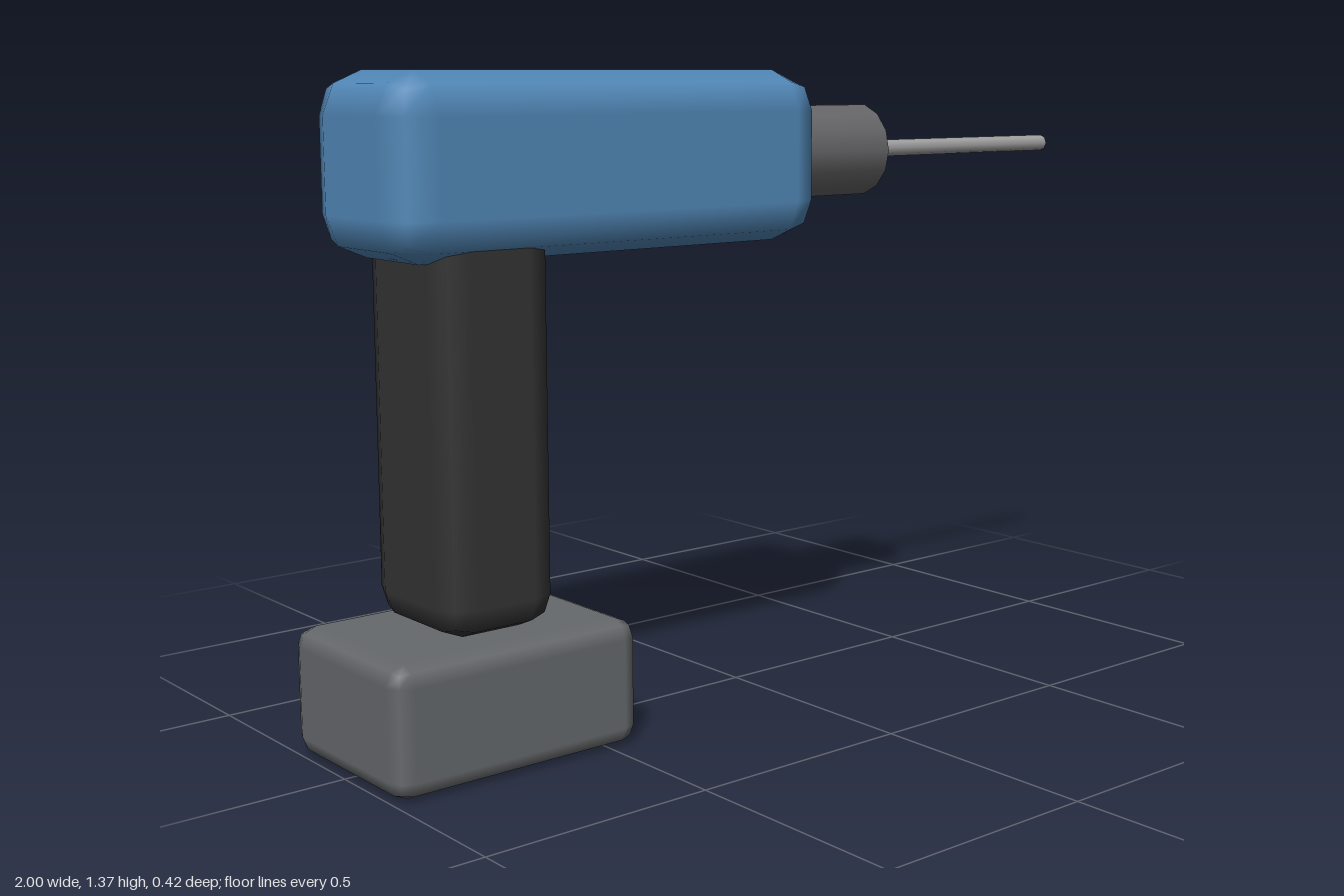
import * as THREE from 'three';
import { RoundedBoxGeometry } from 'three/addons/geometries/RoundedBoxGeometry.js';

const material = (name, color) => {
  const m = new THREE.MeshStandardMaterial({ color });
  m.name = name;
  return m;
};

export function createModel() {
  const group = new THREE.Group();
  group.name = 'cordlessDrill';

  const blue = material('blue casing', 0x5288b8);
  const black = material('black grip', 0x333333);
  const grey = material('battery grey', 0x66696c);
  const chuckGrey = material('chuck grey', 0x666668);
  const steel = material('steel', 0xa0a0a0);
  const red = material('trigger red', 0xcc4a42);

  const add = (name, geometry, mat) => {
    const mesh = new THREE.Mesh(geometry, mat);
    mesh.name = name;
    group.add(mesh);
    return mesh;
  };

  // Chamfered block given by its x and y ranges, centred on z = 0
  const block = (name, [x0, x1], [y0, y1], depth, radius, mat) => {
    const geometry = new RoundedBoxGeometry(x1 - x0, y1 - y0, depth, 1, radius);
    add(name, geometry, mat).position.set((x0 + x1) / 2, (y0 + y1) / 2, 0);
  };

  // Cylinder along x at the height of the drill axis
  const axisY = 1.187;
  const rod = (name, x0, x1, radius, sides, mat) => {
    const geometry = new THREE.CylinderGeometry(radius, radius, x1 - x0, sides);
    geometry.rotateZ(-Math.PI / 2);
    add(name, geometry, mat).position.set((x0 + x1) / 2, axisY, 0);
  };

  block('battery', [-1, -0.43], [0, 0.265], 0.416, 0.04, grey);
  block('handle', [-0.847, -0.583], [0.265, 1.13], 0.314, 0.067, black);
  block('motorHousing', [-0.948, 0.104], [1.004, 1.367], 0.367, 0.086, blue);
  block('trigger', [-0.62, -0.559], [0.793, 0.975], 0.058, 0.012, red);

  // Chuck and drill bit
  rod('chuck', 0.09, 0.365, 0.104, 14, chuckGrey);
  rod('drillBit', 0.35, 1, 0.019, 8, steel);

  return group;
}
